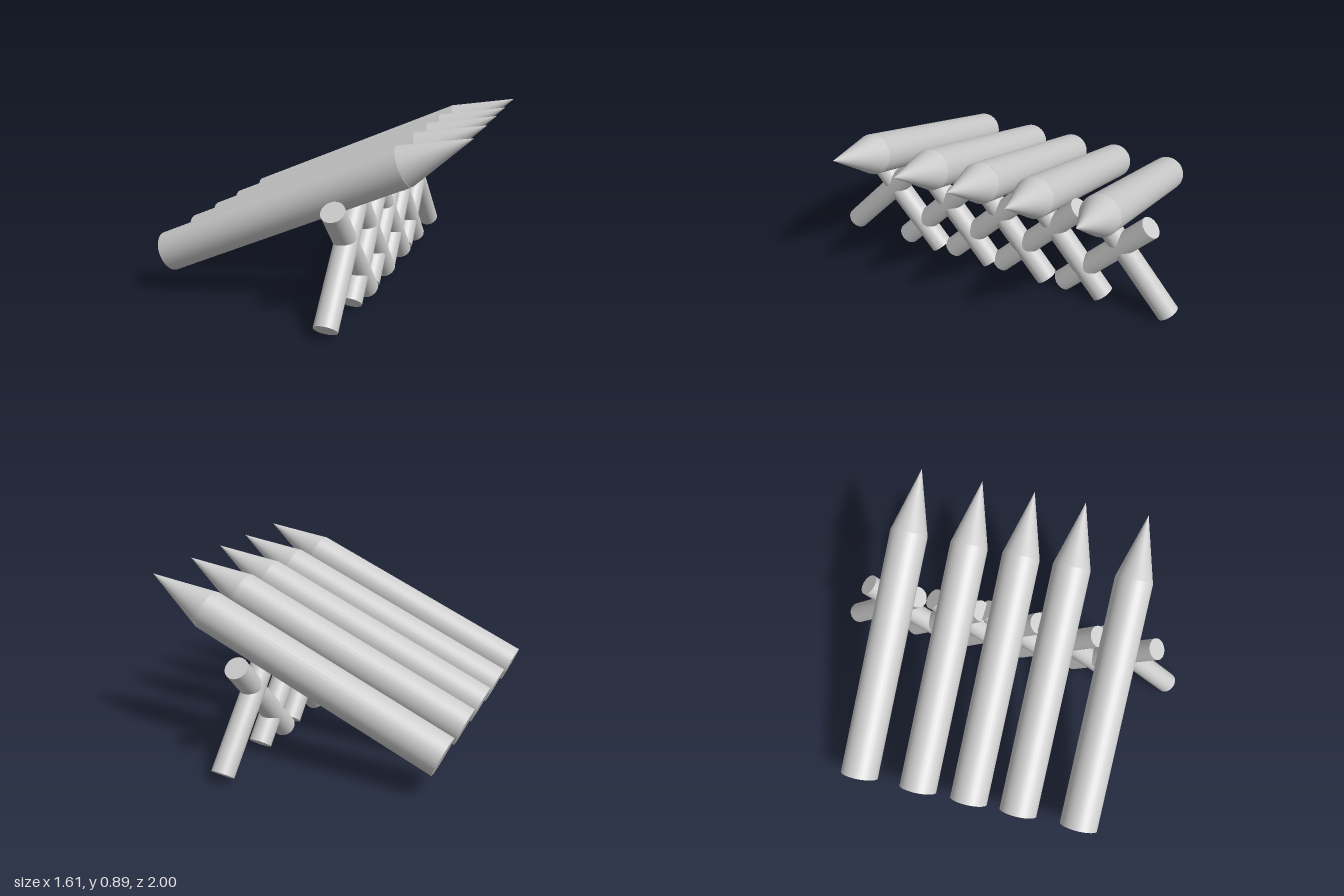
import * as THREE from 'three';

const UP = new THREE.Vector3(0, 1, 0);
const material = new THREE.MeshStandardMaterial({ color: 0xcccccc });

// Round pole (or cone, when endRadius is 0) running from one point to another
function pole(name, from, to, radius, endRadius = radius, open = false) {
  const a = new THREE.Vector3(...from);
  const axis = new THREE.Vector3(...to).sub(a);
  const geometry = new THREE.CylinderGeometry(endRadius, radius, axis.length(), 32, 1, open);
  const mesh = new THREE.Mesh(geometry, material);
  mesh.name = name;
  mesh.position.copy(a).addScaledVector(axis, 0.5);
  mesh.quaternion.setFromUnitVectors(UP, axis.normalize());
  return mesh;
}

export function createModel() {
  const model = new THREE.Group();
  model.name = 'stakeBarricade';

  // Slanted logs, each sharpened to a point
  for (const z of [0.605, 0.268, -0.01, -0.297, -0.633]) {
    const stake = new THREE.Group();
    stake.name = 'stake';
    stake.add(
      pole('stakeShaft', [-0.764, 0.205, z], [0.483, 0.75, z], 0.103),
      pole('stakePoint', [0.483, 0.75, z], [0.8, 0.9, z], 0.103, 0),
    );
    model.add(stake);
  }

  // Crossed supports: one leg of each pair rises towards the back, the other towards the front
  const backLeaning = [0.954, 0.602, 0.305, 0.01, -0.364];
  const frontLeaning = [0.38, 0.06, -0.273, -0.597, -0.957];
  const support = new THREE.Group();
  support.name = 'crossedSupport';
  backLeaning.forEach((z, i) => {
    const foot = frontLeaning[i];
    support.add(
      pole('backLeaningLeg', [0.22, 0.045, z], [0.22, 0.55, z - 0.45], 0.059),
      pole('frontLeaningLeg', [0.235, 0.045, foot], [0.205, 0.56, foot + 0.43], 0.059),
    );
  });
  model.add(support);

  return model;
}
